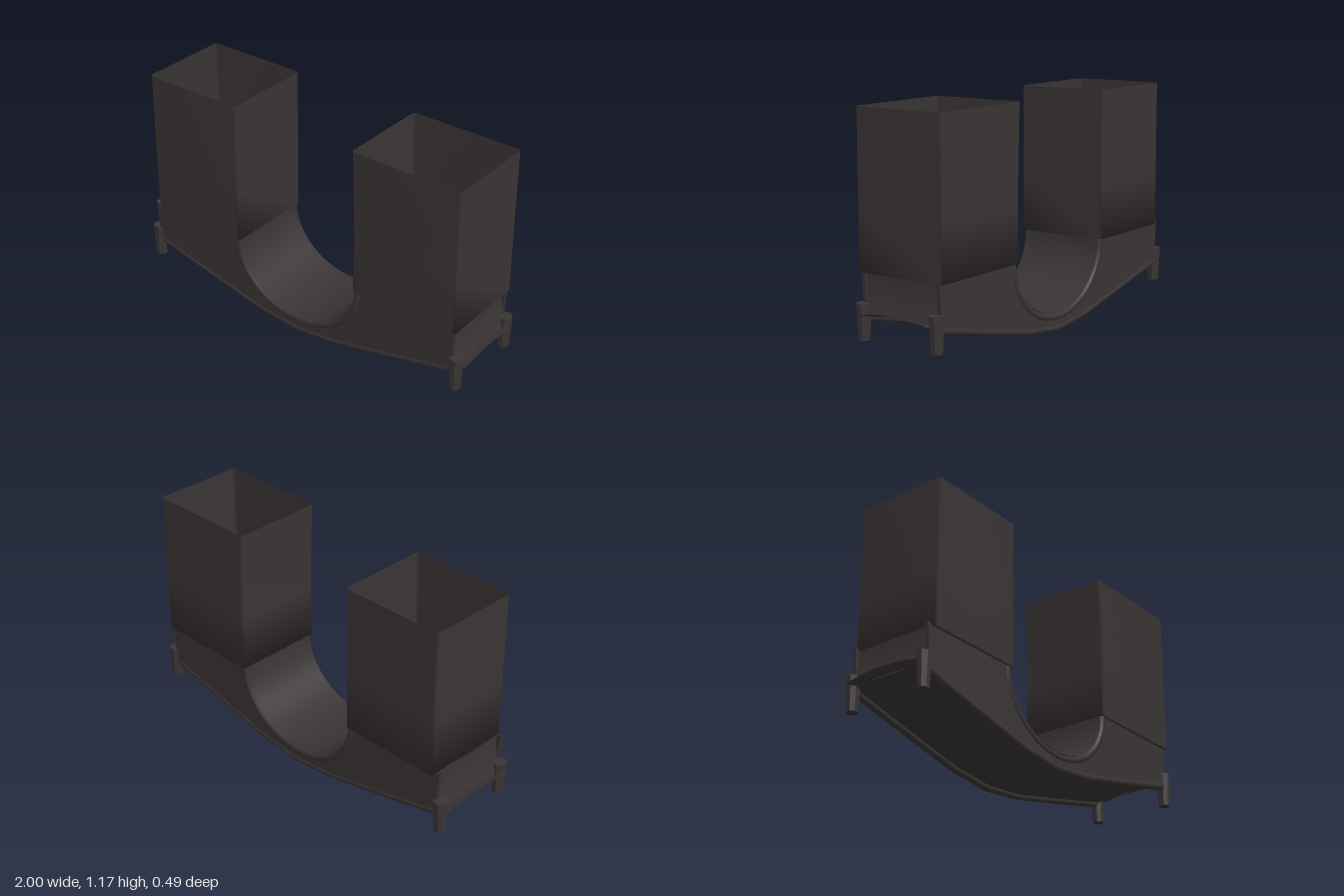
import * as THREE from 'three';

const darkMetal = new THREE.MeshStandardMaterial({ color: 0x3a3534, side: THREE.DoubleSide });
darkMetal.name = 'dark metal';

// Lower edge of the bracket as [x, y], mirrored in x
const LOWER = [[0, 0.005], [0.25, 0.03], [0.5, 0.085], [0.72, 0.134], [0.95, 0.187], [1, 0.205]];
const lowerY = (x) => {
  const a = Math.abs(x);
  const i = Math.max(1, LOWER.findIndex((p) => p[0] >= a - 1e-6));
  const [x0, y0] = LOWER[i - 1], [x1, y1] = LOWER[i];
  return y0 + (y1 - y0) * (a - x0) / (x1 - x0);
};
// Point on the U-shaped saddle arc, t from 0 (left) to 1 (right)
const arc = (t, rx, ry) => [-rx * Math.cos(Math.PI * t), 0.415 - ry * Math.sin(Math.PI * t)];

function part(name, geometry) {
  const mesh = new THREE.Mesh(geometry, darkMetal);
  mesh.name = name;
  return mesh;
}

// Smooth grid surface from a point function
function sheet(fn, nu, nv) {
  const pos = [], index = [];
  for (let i = 0; i <= nu; i++) for (let j = 0; j <= nv; j++) pos.push(...fn(i / nu, j / nv));
  for (let i = 0; i < nu; i++) for (let j = 0; j < nv; j++) {
    const a = i * (nv + 1) + j, b = a + nv + 1;
    index.push(a, a + 1, b, b, a + 1, b + 1);
  }
  const g = new THREE.BufferGeometry();
  g.setAttribute('position', new THREE.Float32BufferAttribute(pos, 3));
  g.setIndex(index);
  g.computeVertexNormals();
  return g;
}

// Open-topped square sleeve with small corner chamfers and a closed bottom
function sleeve(levels) {
  const d = 0.247, c = 0.012, pos = [], index = [];
  levels.forEach(([y, x0, x1]) => {
    [[x1, d - c], [x1, c - d], [x1 - c, -d], [x0 + c, -d],
      [x0, c - d], [x0, d - c], [x0 + c, d], [x1 - c, d]].forEach(([x, z]) => pos.push(x, y, z));
  });
  for (let l = 0; l < levels.length - 1; l++) for (let k = 0; k < 8; k++) {
    const a = l * 8 + k, b = l * 8 + (k + 1) % 8;
    index.push(a, b, a + 8, b, b + 8, a + 8);
  }
  for (let k = 1; k < 7; k++) index.push(0, k + 1, k);
  const g = new THREE.BufferGeometry();
  g.setAttribute('position', new THREE.Float32BufferAttribute(pos, 3));
  g.setIndex(index);
  g.computeVertexNormals();
  return g;
}

function tube(points, radius) {
  const path = new THREE.CatmullRomCurve3(points.map((p) => new THREE.Vector3(...p)));
  return new THREE.TubeGeometry(path, 48, radius, 8);
}

export function createModel() {
  const model = new THREE.Group();
  model.name = 'doubleSleeveBracket';

  // Two upright sleeves
  model.add(part('rightSleeve', sleeve([[0.415, -0.917, -0.362], [0.7, -0.917, -0.36], [1.18, -0.917, -0.358]])));
  model.add(part('leftSleeve', sleeve([[0.415, 0.36, 0.95], [0.7, 0.364, 0.95], [0.95, 0.358, 0.95], [1.18, 0.35, 0.95]])));

  // Side plate outline: lower edge, ends, and the U cut-out
  const outline = [];
  for (let i = 0; i <= 38; i++) {
    const x = -0.95 + i * 0.05;
    outline.push(new THREE.Vector2(x, lowerY(x) + 0.01));
  }
  [[0.935, 0.27], [0.945, 0.425], [0.925, 0.412]].forEach((p) => outline.push(new THREE.Vector2(...p)));
  for (let i = 32; i >= 0; i--) outline.push(new THREE.Vector2(...arc(i / 32, 0.385, 0.34)));
  [[-0.915, 0.412], [-0.95, 0.43], [-0.937, 0.27]].forEach((p) => outline.push(new THREE.Vector2(...p)));
  const plate = new THREE.ExtrudeGeometry(new THREE.Shape(outline), { depth: 0.018, bevelEnabled: false });

  for (const s of [1, -1]) {
    const side = s > 0 ? 'front' : 'back';
    const p = part(side + 'Plate', plate);
    p.position.z = s > 0 ? 0.21 : -0.228;
    model.add(p);

    // Rolled rail along the lower edge
    const rail = [];
    for (let i = -8; i <= 8; i++) rail.push([i * 0.118, lowerY(i * 0.118) + 0.021, s * 0.213]);
    model.add(part(side + 'Rail', tube(rail, 0.02)));

    // Rounded bead around the U cut-out
    const bead = [];
    for (let i = 0; i <= 16; i++) bead.push([...arc(i / 16, 0.383, 0.332), s * 0.217]);
    model.add(part(side + 'Bead', tube(bead, 0.019)));

    // Tapered corner feet
    for (const e of [1, -1]) {
      const foot = part(side + (e > 0 ? 'Left' : 'Right') + 'Foot',
        new THREE.CylinderGeometry(0.037, 0.029, 0.175, 8).rotateY(Math.PI / 8).toNonIndexed());
      foot.geometry.computeVertexNormals();
      foot.position.set(e * 0.951, 0.188, s * 0.213);
      model.add(foot);
    }
  }

  // Curved saddle between the sleeves
  model.add(part('saddle', sheet((u, v) => [...arc(u, 0.366, 0.312), 0.226 - v * 0.452], 40, 1)));

  // Arched floor pan, flaring to a lip at each end
  model.add(part('floorPan', sheet((u, v) => {
    const x = u * 2 - 1, z = (v * 2 - 1) * 0.205;
    return [x, lowerY(x) + 0.045 - 0.022 * Math.pow(z / 0.205, 2), z];
  }, 40, 8)));

  // End panels curving out towards the lip
  for (const e of [1, -1]) {
    model.add(part(e > 0 ? 'leftEndPanel' : 'rightEndPanel', sheet((u, v) => [
      e * (0.925 + 0.03 * u * u), 0.415 - 0.19 * u, e * (0.212 - v * 0.424)], 8, 1)));
  }
  return model;
}
